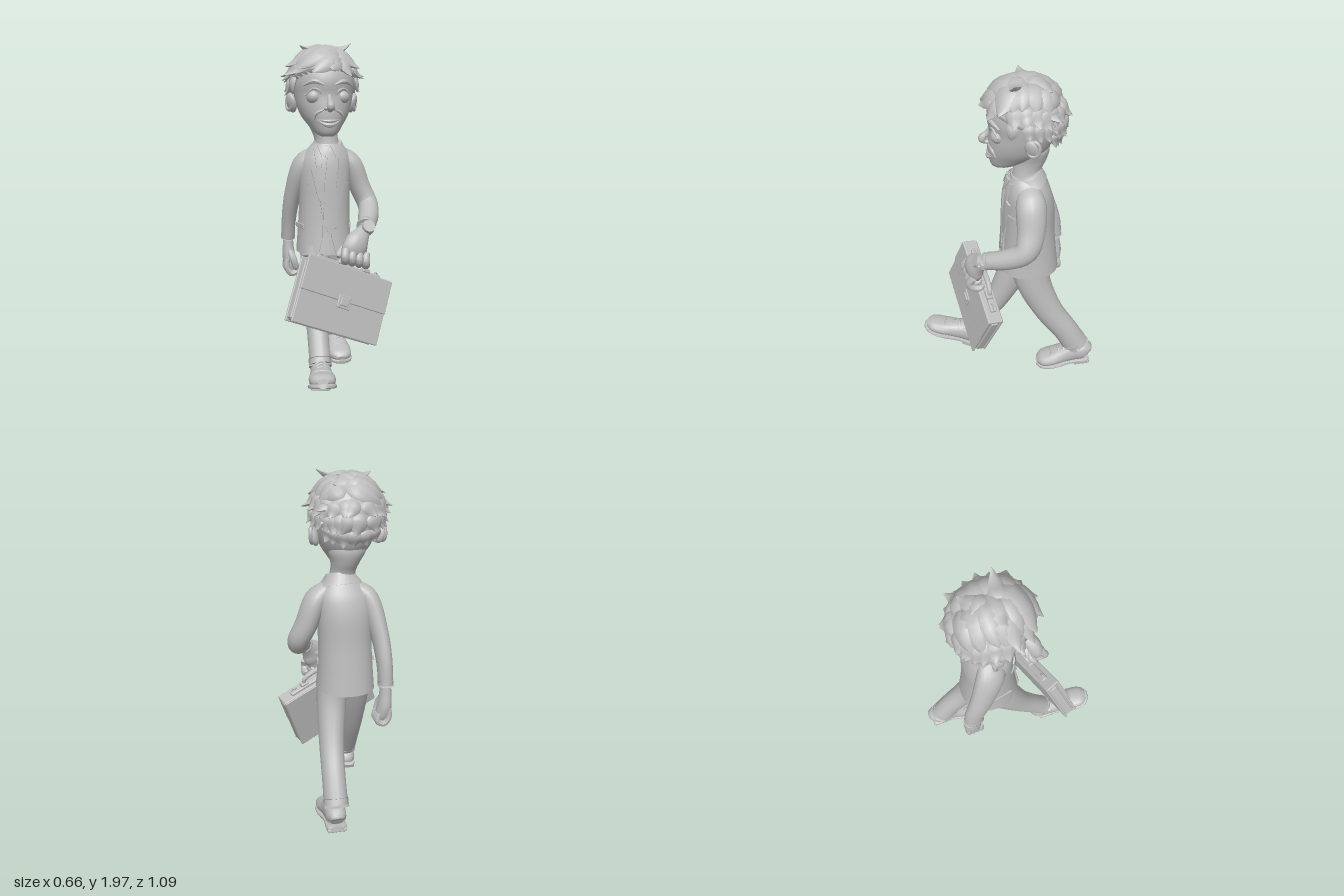
import * as THREE from 'three';
import { toCreasedNormals } from 'three/addons/utils/BufferGeometryUtils.js';
import { RoundedBoxGeometry } from 'three/addons/geometries/RoundedBoxGeometry.js';

const V = (x, y, z) => new THREE.Vector3(x, y, z);
const grey = new THREE.MeshStandardMaterial({ color: 0xbdbdbd, side: THREE.DoubleSide });
grey.name = 'plain grey';

// Smooth loft through [x, y, z, halfWidth, halfDepth] sections, closed at both ends.
function loft(pts, { n = 16, steps = 4, flat = false, side = V(1, 0, 0), square = 1, crease = 0.7 } = {}) {
  const path = new THREE.CatmullRomCurve3(pts.map(p => V(p[0], p[1], p[2])), false, 'catmullrom', 0.5);
  const radii = new THREE.CatmullRomCurve3(pts.map(p => V(p[3], p[4] ?? p[3], 0)), false, 'catmullrom', 0.5);
  const rows = (pts.length - 1) * steps, pos = [], idx = [];
  const bend = v => Math.sign(v) * Math.abs(v) ** square;
  for (let i = 0; i <= rows; i++) {
    const t = i / rows, c = path.getPoint(t), r = radii.getPoint(t);
    const N = flat ? V(0, 1, 0) : path.getTangent(t);
    const S = side.clone().addScaledVector(N, -side.dot(N)).normalize(), B = N.clone().cross(S);
    for (let j = 0; j < n; j++) {
      const a = (j / n) * Math.PI * 2;
      const p = c.clone().addScaledVector(S, bend(Math.cos(a)) * r.x).addScaledVector(B, bend(Math.sin(a)) * r.y);
      pos.push(p.x, p.y, p.z);
      if (i < rows) {
        const p0 = i * n + j, p1 = i * n + (j + 1) % n;
        idx.push(p0, p1, p1 + n, p0, p1 + n, p0 + n);
      }
    }
  }
  const first = pos.length / 3, a = pts[0], b = pts[pts.length - 1];
  pos.push(a[0], a[1], a[2], b[0], b[1], b[2]);
  for (let j = 0; j < n; j++) {
    const k = (j + 1) % n;
    idx.push(first, k, j, first + 1, rows * n + j, rows * n + k);
  }
  const g = new THREE.BufferGeometry();
  g.setAttribute('position', new THREE.Float32BufferAttribute(pos, 3));
  g.setIndex(idx);
  return toCreasedNormals(g, crease);
}

function add(parent, name, geo, at = [0, 0, 0], rot = [0, 0, 0], scale = [1, 1, 1]) {
  const m = new THREE.Mesh(geo, grey);
  m.name = name;
  m.position.set(...at); m.rotation.set(...rot); m.scale.set(...scale);
  parent.add(m);
  return m;
}
const box = (w, h, d, r = 0.008) => new RoundedBoxGeometry(w, h, d, 2, r);
const ball = new THREE.SphereGeometry(1, 20, 14);

// Jacket body sections, bottom to top
const torso = [[-.03, .765, -.14, .166, .176], [-.03, .9, -.14, .156, .16], [-.028, 1.05, -.137, .15, .148],
  [-.025, 1.2, -.135, .153, .143], [-.02, 1.3, -.128, .15, .128], [-.015, 1.365, -.12, .122, .105], [-.01, 1.41, -.115, .085, .085]];
const torsoSquare = .9;

function chestZ(x, y) {
  let i = 0;
  while (i < torso.length - 2 && y > torso[i + 1][1]) i++;
  const t = THREE.MathUtils.clamp((y - torso[i][1]) / (torso[i + 1][1] - torso[i][1]), 0, 1);
  const s = torso[i].map((v, k) => v + (torso[i + 1][k] - v) * t);
  const across = Math.min(.98, Math.abs((x - s[0]) / s[3]));
  return s[2] + s[4] * (1 - across ** (2 / torsoSquare)) ** (torsoSquare / 2);
}
// Thin cloth panel lying on the chest; rows are [y, x0, x1]
function panel(rows, lift, thick = 0.01) {
  const g = new THREE.BoxGeometry(1, 1, 1, 4, (rows.length - 1) * 4, 1), p = g.attributes.position;
  for (let k = 0; k < p.count; k++) {
    const f = (p.getY(k) + .5) * (rows.length - 1), i = Math.min(rows.length - 2, Math.floor(f));
    const [y, x0, x1] = rows[i].map((v, q) => v + (rows[i + 1][q] - v) * (f - i));
    const x = x0 + (x1 - x0) * (p.getX(k) + .5);
    p.setXYZ(k, x, y, chestZ(x, y) + lift + p.getZ(k) * thick);
  }
  return toCreasedNormals(g, 0.6);
}

function buildJacket(g) {
  add(g, 'jacketBody', loft(torso, { n: 36, flat: true, square: torsoSquare }));
  add(g, 'shirtFront', panel([[.96, -.035, -.02], [1.2, -.075, .02], [1.39, -.06, .04]], .003));
  add(g, 'tie', panel([[.89, -.03, -.02], [.95, -.064, .018], [1.2, -.053, .008], [1.33, -.037, -.004], [1.34, -.048, .008], [1.385, -.052, .012]], .012, .012));
  for (const s of [-1, 1]) {
    const c = -.022, m = rows => rows.map(([y, a, b]) => [y, c + s * a, c + s * b]);
    add(g, 'frontEdge', panel(m([[.775, .07, .03], [.86, .05, .008], [.98, .045, .005], [1.1, .06, .03]]), .005));
    add(g, 'lapel', panel(m([[.97, .005, .012], [1.12, .03, .075], [1.26, .048, .105], [1.275, .05, .078], [1.385, .05, .085]]), .011));
    add(g, 'shirtCollar', panel(m([[1.335, .035, .045], [1.4, .005, .065]]), .019));
    add(g, 'pocketFlap', box(.01, .03, .12, .004), [-.03 + s * .15, .925, -.1], [0, s * -.2, 0]);
    add(g, 'chestPocket', panel(m([[1.17, .085, .125], [1.185, .085, .125]]), .005));
  }
  for (const y of [.93, 1.0]) add(g, 'button', ball, [.005, y, chestZ(0, y) + .012], [0, 0, 0], [.009, .009, .005]);
  add(g, 'jacketCollar', loft([[-.01, 1.362, -.132, .122, .1], [-.008, 1.4, -.12, .094, .092], [-.008, 1.425, -.112, .08, .085]], { n: 24 }));

  add(g, 'leftSleeve', loft([[.07, 1.355, -.125, .04, .06], [.135, 1.285, -.13, .064, .085], [.188, 1.15, -.128, .062, .08],
    [.23, 1.045, -.095, .06, .07], [.21, .985, .005, .06], [.167, .942, .12, .05]]));
  add(g, 'leftCuff', loft([[.174, .95, .1, .055], [.162, .938, .128, .054]], { steps: 1 }));
  add(g, 'rightSleeve', loft([[-.08, 1.355, -.135, .04, .06], [-.155, 1.28, -.16, .06, .085], [-.205, 1.1, -.23, .05, .074],
    [-.222, .95, -.285, .044, .064], [-.225, .82, -.312, .041, .053]]));
  add(g, 'rightCuff', loft([[-.225, .85, -.308, .044, .056], [-.225, .815, -.313, .044, .056]], { steps: 1 }));
}

function buildHands(g) {
  // Gripping left hand with a wrist watch
  add(g, 'leftHand', loft([[.165, .94, .12, .036], [.14, .915, .15, .042], [.1, .865, .185, .072, .052], [.078, .82, .195, .078, .05], [.062, .78, .195, .066, .034]], { side: V(.8, -.4, -.3) }));
  for (let i = 0; i < 4; i++) {
    const x = .085 + (i - 1.5) * .042, y = .82 - (i - 1.5) * .012, z = .216 - (i - 1.5) * .01;
    add(g, 'leftFinger', loft([[x, y, z, .021], [x - .006, y - .04, z + .021, .024], [x, y - .07, z, .022], [x, y - .073, z - .04, .019], [x, y - .05, z - .058, .01]], { n: 10, steps: 3 }));
  }
  add(g, 'leftThumb', loft([[.09, .87, .15, .022], [.035, .83, .15, .023], [0, .8, .175, .02], [-.01, .785, .19, .01]], { n: 8 }));
  add(g, 'watchStrap', loft([[.158, .932, .137, .043], [.15, .92, .15, .043]], { steps: 1 }));
  const face = add(g, 'watchFace', new THREE.CylinderGeometry(.036, .039, .02, 20), [.167, .952, .182]);
  face.quaternion.setFromUnitVectors(V(0, 1, 0), V(.15, .5, .85).normalize());
  // Relaxed right fist
  add(g, 'rightHand', loft([[-.224, .83, -.312, .03, .035], [-.224, .77, -.315, .034, .042], [-.22, .7, -.315, .04, .052], [-.21, .64, -.31, .04, .046], [-.207, .61, -.305, .025, .035]]));
  for (let i = 0; i < 4; i++) {
    const z = -.268 - i * .026;
    add(g, 'rightFinger', loft([[-.235, .69, z, .016], [-.238, .635, z, .019], [-.21, .598, z, .019], [-.175, .615, z, .018], [-.18, .66, z, .012]], { n: 8, side: V(0, 0, 1) }));
  }
  add(g, 'rightThumb', loft([[-.215, .74, -.28, .018], [-.2, .69, -.258, .022], [-.185, .64, -.258, .018], [-.182, .62, -.262, .007]], { n: 8 }));
}

function buildShoe(g, name, at, pitch, yaw, len) {
  const s = new THREE.Group();
  s.name = name;
  s.rotation.order = 'YXZ';
  s.position.set(...at); s.rotation.set(pitch, yaw, 0);
  const k = len / .36;
  const at2 = rows => rows.map(([y, z, w, h]) => [0, y, z * k, w, h]);
  add(s, 'upper', loft(at2([[.065, 0, .038, .04], [.08, .02, .056, .062], [.088, .09, .06, .07], [.072, .17, .062, .057], [.057, .25, .074, .044], [.048, .32, .066, .035], [.042, .355, .03, .016]]), { square: .85 }));
  add(s, 'sole', loft(at2([[.02, -.005, .035, .014], [.02, .02, .06, .014], [.02, .13, .058, .014], [.02, .25, .08, .014], [.02, .33, .066, .014], [.02, .365, .024, .012]]), { square: .6 }));
  add(s, 'heel', box(.112, .024, .1), [0, .007, .05 * k]);
  add(s, 'toeSeam', loft([[-.07, .06, .24 * k, .006], [-.035, .096, .25 * k, .006], [.035, .096, .25 * k, .006], [.07, .06, .24 * k, .006]], { n: 6, side: V(0, 0, 1) }));
  for (let i = 0; i < 3; i++) {
    const z = (.125 + i * .034) * k;
    add(s, 'lace', loft([[-.045, .124 - i * .013, z, .008], [0, .154 - i * .016, z + .006, .008], [.045, .124 - i * .013, z, .008]], { n: 6, side: V(0, 0, 1) }));
  }
  g.add(s);
}

function buildLegs(g) {
  add(g, 'leftTrouser', loft([[.04, .86, -.13, .09, .12], [.055, .67, -.165, .085, .105], [.075, .46, -.262, .072, .088], [.085, .3, -.37, .068, .08], [.088, .165, -.445, .07, .083]]));
  add(g, 'leftTrouserCuff', loft([[.088, .2, -.427, .073, .085], [.088, .155, -.45, .075, .087]], { steps: 1 }));
  add(g, 'rightTrouser', loft([[-.09, .86, -.12, .09, .12], [-.1, .66, -.055, .085, .1], [-.108, .45, .035, .07, .078], [-.115, .3, .125, .062, .07], [-.118, .17, .21, .062, .067]]));
  add(g, 'rightTrouserCuff', loft([[-.117, .2, .192, .066, .071], [-.118, .16, .216, .067, .071]], { steps: 1 }));
  buildShoe(g, 'leftShoe', [.097, .045, -.53], .12, 0, .335);
  buildShoe(g, 'rightShoe', [-.115, .015, .192], -.37, -.14, .37);
}

function buildHead(g) {
  add(g, 'neck', loft([[-.012, 1.37, -.115, .078, .085], [-.02, 1.44, -.12, .07, .08], [-.03, 1.5, -.135, .082, .092], [-.038, 1.57, -.145, .105, .098], [-.04, 1.65, -.14, .08, .08]], { flat: true, n: 20, crease: 1.2 }));
  const rows = [[1.455, .035, .065, -.02], [1.475, .066, .083, -.08], [1.52, .1, .093, -.17], [1.57, .134, .098, -.235], [1.63, .157, .095, -.265],
    [1.69, .17, .09, -.285], [1.76, .178, .1, -.295], [1.84, .165, .075, -.28], [1.91, .1, .0, -.2], [1.935, .02, -.07, -.12]];
  add(g, 'head', loft(rows.map(([y, w, f, b]) => [-.04, y, (f + b) / 2, w, (f - b) / 2]), { n: 28, steps: 3, flat: true, crease: 1.2 }));
  add(g, 'nose', loft([[-.04, 1.69, .078, .012], [-.04, 1.655, .098, .014, .016], [-.04, 1.625, .125, .023, .022], [-.04, 1.607, .112, .018, .016], [-.04, 1.597, .095, .008]], { n: 12 }));
  for (const s of [-1, 1]) {
    const x = d => -.04 + s * d;
    add(g, 'eye', ball, [x(.081), 1.677, .042], [0, 0, 0], [.043, .041, .042]);
    add(g, 'eyelid', loft([[x(.035), 1.678, .076, .005], [x(.055), 1.71, .08, .007], [x(.09), 1.72, .07, .007], [x(.13), 1.685, .045, .005]], { n: 8 }));
    add(g, 'eyebrow', loft([[x(.03), 1.742, .09, .008], [x(.085), 1.762, .078, .013], [x(.14), 1.74, .04, .005]], { n: 8, side: V(0, 1, 0) }));
    add(g, 'smileCrease', loft([[x(.03), 1.605, .093, .005], [x(.07), 1.585, .074, .01], [x(.085), 1.55, .058, .005]], { n: 8 }));
    add(g, 'nostril', ball, [x(.02), 1.612, .098], [0, 0, 0], [.013, .012, .016]);
    add(g, 'ear', ball, [x(.182), 1.645, -.13], [.2, s * -.4, s * -.2], [.024, .058, .042]);
    add(g, 'earRim', new THREE.TorusGeometry(.038, .011, 8, 20), [x(.193), 1.65, -.135], [0, Math.PI / 2 - s * .4, s * -.2], [.85, 1.15, 1]);
  }
  const lip = (name, drop, r) => add(g, name, loft([-1, -.5, 0, .5, 1].map(t => [-.04 + t * .072, 1.525 - drop + t * t * (.028 + drop), .095 - t * t * .032, r * (1.2 - Math.abs(t))]), { n: 8, side: V(0, 1, 0) }));
  lip('upperLip', -.016, .009);
  lip('lowerLip', .006, .012);
}

function buildHair(g) {
  const C = V(-.045, 1.745, -.1), R = V(.2, .213, .222);
  // Cap with a high front edge and a low nape
  const cap = new THREE.SphereGeometry(1, 36, 18), p = cap.attributes.position;
  for (let i = 0; i < p.count; i++) {
    const az = Math.atan2(p.getX(i), p.getZ(i)), v = Math.acos(THREE.MathUtils.clamp(p.getY(i), -1, 1)) / Math.PI;
    const th = v * (1.62 - .42 * Math.cos(az)), r = v > .97 ? .84 : 1;
    p.setXYZ(i, C.x + r * R.x * Math.sin(th) * Math.sin(az), C.y + r * R.y * Math.cos(th), C.z + r * R.z * Math.sin(th) * Math.cos(az));
  }
  cap.computeVertexNormals();
  add(g, 'hairCap', cap);
  // Pointed lock sweeping over the cap between two directions
  const lock = (from, to, w, lift) => {
    const a = V(...from).normalize(), b = V(...to).normalize();
    const pts = [0, .3, .6, .85, 1].map((t, i) => {
      const q = a.clone().lerp(b, t).normalize().multiply(R).multiplyScalar([.94, .98, 1, 1.01 + lift * .35, 1.02 + lift][i]).add(C);
      const k = [.6, 1, .9, .5, .04][i];
      return [q.x, q.y, q.z, w * k, w * k * .45];
    });
    add(g, 'hairLock', loft(pts, { n: 8, steps: 2, side: a.clone().cross(b), crease: .9 }));
  };
  let seed = 7;
  const rnd = () => (seed = (seed * 16807) % 2147483647) / 2147483647;
  // Combed sideways over the crown, tips flicking out at the sides
  for (let z = -.75; z <= .6; z += .27) {
    for (const s of [-1, 1]) {
      const j = (rnd() - .5) * .25;
      lock([.25, 1, z], [s * .95, .5 + j, z + j], .062, .05);
      lock([s * .85, .65, z], [s, .15 + j, z - .05], .05, .2 + j * .6);
      if (z < .1) lock([s, .2, z - .1], [s * .95, -.2 + j, z * .9 - .1], .036, .12);
    }
  }
  // Sideburn points ahead of the ears
  for (const s of [-1, 1]) lock([s, .25, .35], [s * .95, -.2, .38], .032, .02);
  // Back rows
  for (let r = 0; r < 3; r++) {
    for (let i = -3; i <= 3; i++) {
      const x = i * .27 + (r % 2) * .13 + (rnd() - .5) * .1, y = .55 - r * .4;
      lock([x, y, -.95], [x * 1.15 + (rnd() - .5) * .5, y - .45, -.95], .046, .06 + rnd() * .1);
    }
  }
  // Swept fringe and crown tufts
  lock([.5, .9, .3], [-.85, .42, .75], .075, .16);
  lock([.4, .8, .6], [-.45, .28, 1], .06, .14);
  lock([.3, .7, .7], [.05, .33, 1], .05, .12);
  lock([.2, 1, .3], [.85, .4, .6], .07, .2);
  lock([.4, .7, .6], [.6, .2, .85], .045, .12);
  lock([-.3, .8, .6], [-.9, .25, .55], .055, .2);
  lock([-.3, 1, .2], [-.95, .4, .2], .06, .25);
  lock([-.1, 1, .3], [.7, 1, .25], .06, .36);
  lock([.1, 1, -.05], [-.65, 1, .1], .055, .24);
  lock([.3, 1, -.1], [-.1, 1, -.5], .05, .08);
  lock([0, 1, -.3], [.55, .9, -.65], .05, .14);
}

function buildBriefcase(g) {
  const c = new THREE.Group();
  c.name = 'briefcase';
  const u = V(.535, -.228, -.14).normalize(), v = V(.08, .365, -.1);
  v.addScaledVector(u, -v.dot(u)).normalize();
  c.quaternion.setFromRotationMatrix(new THREE.Matrix4().makeBasis(u, v, u.clone().cross(v)));
  c.position.set(-.003, .533, .2);
  add(c, 'caseBody', box(.555, .36, .078, .015), [0, 0, -.004]);
  for (const z of [-.042, .034]) add(c, 'casePanel', box(.572, .375, .014, .006), [0, 0, z]);
  add(c, 'flap', box(.574, .195, .012, .005), [0, .095, .042]);
  add(c, 'flapTop', box(.574, .014, .09, .006), [0, .187, 0]);
  add(c, 'topRail', box(.44, .02, .04), [0, .2, -.005]);
  add(c, 'lockPlate', box(.085, .075, .012, .005), [0, -.005, .049]);
  add(c, 'lockClasp', box(.055, .045, .014, .005), [0, -.005, .055]);
  for (const s of [-1, 1]) {
    add(c, 'gusset', box(.014, .33, .045), [s * .279, -.005, -.004]);
    add(c, 'handleMount', box(.05, .025, .04), [s * .085 + .03, .212, 0]);
    add(c, 'strapLoop', new THREE.TorusGeometry(.016, .005, 6, 14), [s * .19, .205, 0]);
  }
  add(c, 'handle', loft([[-.055, .21, 0, .012], [-.04, .245, 0, .014], [.03, .257, 0, .016], [.1, .245, 0, .014], [.115, .21, 0, .012]], { n: 10, side: V(0, 0, 1) }));
  g.add(c);
}

export function createModel() {
  const root = new THREE.Group();
  root.name = 'walkingManWithBriefcase';
  const parts = { jacket: buildJacket, hands: buildHands, legs: buildLegs, head: buildHead, hair: buildHair, briefcase: buildBriefcase };
  for (const [name, build] of Object.entries(parts)) {
    const g = new THREE.Group();
    g.name = name;
    build(g);
    root.add(g);
  }
  return root;
}
